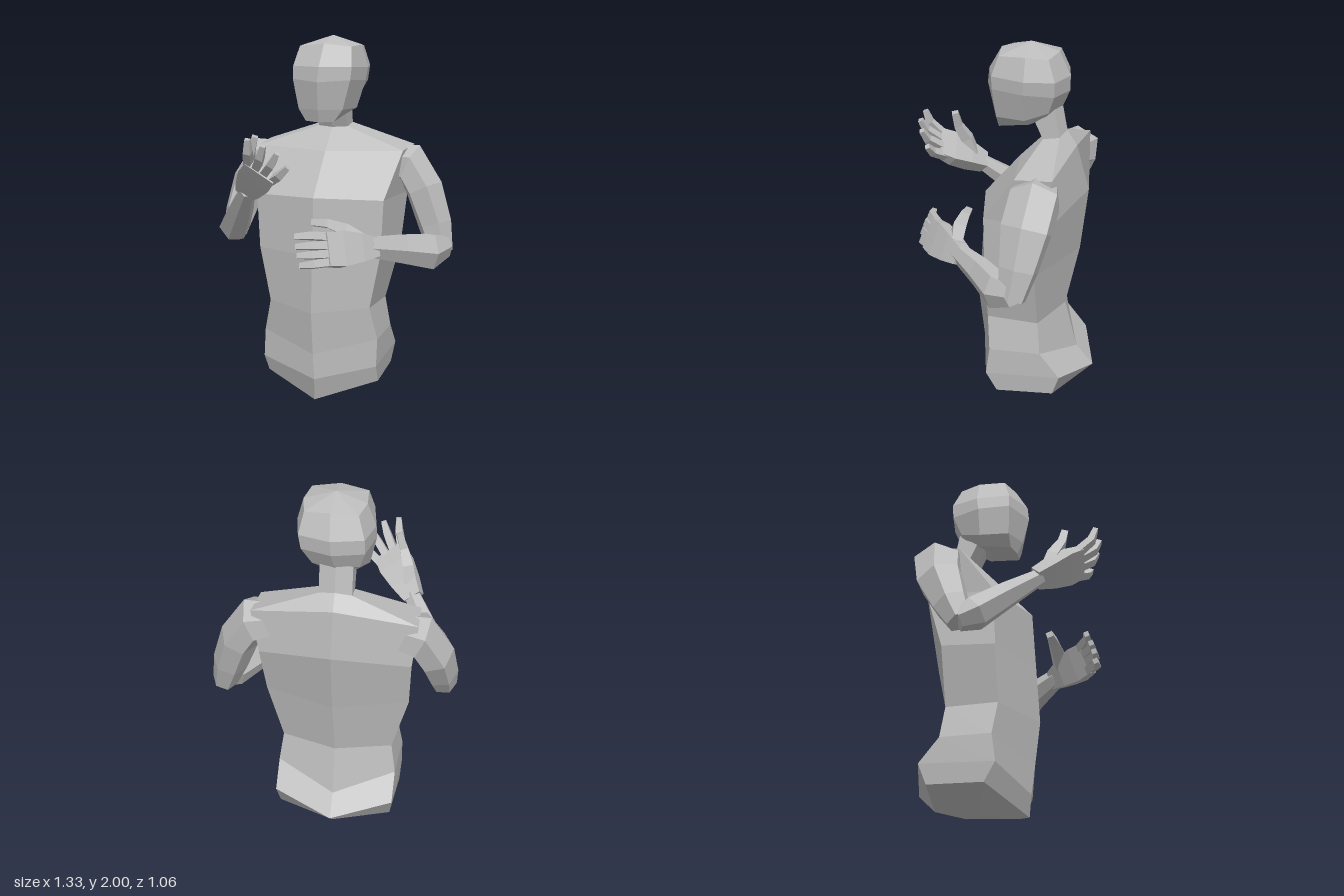
import * as THREE from 'three';

const grey = new THREE.MeshStandardMaterial({ color: 0xbcbcbc });
grey.name = 'clay grey';

const V = (p) => new THREE.Vector3(...p);

// Faceted skin over closed rings of Vector3 (counter-clockwise seen from the end), closed at both ends.
function loft(name, rings, startTip, endTip) {
  const pos = [], nor = [];
  const face = (normal, ...p) => p.forEach((v) => {
    pos.push(v.x, v.y, v.z);
    nor.push(normal.x, normal.y, normal.z);
  });
  const cross = (a, b, c, d) => b.clone().sub(a).cross(d.clone().sub(c)).normalize();
  const tri = (a, b, c) => face(cross(a, b, a, c), a, b, c);
  // One normal per quad, split along its shorter diagonal
  const quad = (a, b, c, d) => {
    const normal = cross(a, c, b, d);
    if (a.distanceTo(c) < b.distanceTo(d)) face(normal, a, b, c, a, c, d);
    else face(normal, a, b, d, b, c, d);
  };
  const n = rings[0].length;
  const mean = (r) => r.reduce((s, p) => s.add(p), new THREE.Vector3()).divideScalar(n);
  const first = rings[0], last = rings[rings.length - 1];
  const start = startTip ?? mean(first), end = endTip ?? mean(last);
  for (let i = 0; i < n; i++) {
    const j = (i + 1) % n;
    for (let k = 0; k + 1 < rings.length; k++) quad(rings[k][i], rings[k][j], rings[k + 1][j], rings[k + 1][i]);
    tri(start, first[j], first[i]);
    tri(end, last[i], last[j]);
  }
  const geo = new THREE.BufferGeometry();
  geo.setAttribute('position', new THREE.Float32BufferAttribute(pos, 3));
  geo.setAttribute('normal', new THREE.Float32BufferAttribute(nor, 3));
  const mesh = new THREE.Mesh(geo, grey);
  mesh.name = name;
  return mesh;
}

// Mirrored ring: points [halfWidth, y, z] run from front centre round to back centre.
function mirrorRing(cx, half) {
  const left = half.map(([w, y, z]) => new THREE.Vector3(cx + w, y, z));
  const right = half.slice(1, -1).reverse().map(([w, y, z]) => new THREE.Vector3(cx - w, y, z));
  return [...left, ...right];
}

// Limb through sections [x, y, z, a, b]: a is the half size along ref, b across it.
function limb(name, sections, ref, sides = 6) {
  const c = sections.map((s) => V(s));
  const grow = sides === 4 ? Math.SQRT2 : 1;
  const rings = sections.map(([, , , a, b], k) => {
    const t = c[Math.min(k + 1, c.length - 1)].clone().sub(c[Math.max(k - 1, 0)]).normalize();
    const u = ref.clone().addScaledVector(t, -ref.dot(t)).normalize();
    const v = t.clone().cross(u);
    return Array.from({ length: sides }, (_, i) => {
      const q = ((i + 0.5) / sides) * Math.PI * 2;
      return c[k].clone().addScaledVector(u, Math.cos(q) * a * grow).addScaledVector(v, Math.sin(q) * b * grow);
    });
  });
  return loft(name, rings);
}

// Hand: flat palm, four curled fingers and a thumb.
function hand(name, wrist, knuckles, tips, thumb, curl) {
  const g = new THREE.Group();
  g.name = name;
  const K = knuckles.map(V), T = tips.map(V), w = V(wrist);
  const across = K[0].clone().sub(K[3]).normalize();
  const mid = K.reduce((s, p) => s.add(p), new THREE.Vector3()).divideScalar(4);
  const at = (f) => w.clone().lerp(mid, f).toArray();
  g.add(limb('palm', [
    [...at(-0.08), 0.05, 0.035],
    [...at(0.3), 0.075, 0.042],
    [...at(0.7), 0.094, 0.036],
    [...at(1.03), 0.088, 0.024],
  ], across, 4));
  K.forEach((k, i) => {
    const bend = k.clone().lerp(T[i], 0.5).add(V(curl));
    g.add(limb('finger', [
      [...k.clone().lerp(w, 0.1).toArray(), 0.021, 0.022],
      [...bend.toArray(), 0.02, 0.02],
      [...T[i].toArray(), 0.014, 0.013],
    ], across, 4));
  });
  g.add(limb('thumb', thumb, across, 4));
  return g;
}

export function createModel() {
  const model = new THREE.Group();
  model.name = 'upperBody';
  const cx = -0.035;

  // Torso and neck: front centre, front corner, back corner, back centre
  const torso = [
    [[0, 0, 0.08], [0.325, 0.1, -0.06], [0.31, 0.12, -0.37], [0, 0.075, -0.435]],
    [[0, 0.12, 0.09], [0.33, 0.2, 0], [0.325, 0.23, -0.41], [0, 0.165, -0.525]],
    [[0, 0.27, 0.11], [0.33, 0.35, -0.02], [0.325, 0.36, -0.3], [0, 0.27, -0.43]],
    [[0, 0.51, 0.14], [0.29, 0.53, 0], [0.3, 0.53, -0.28], [0, 0.53, -0.36]],
    [[0, 0.82, 0.12], [0.35, 0.83, 0], [0.385, 0.84, -0.28], [0, 0.87, -0.435]],
    [[0, 1.14, 0.1], [0.365, 1.13, 0], [0.4, 1.13, -0.36], [0, 1.21, -0.475]],
    [[0, 1.37, -0.1], [0.42, 1.38, -0.18], [0.43, 1.395, -0.38], [0, 1.45, -0.405]],
    [[0, 1.49, -0.22], [0.085, 1.495, -0.24], [0.085, 1.51, -0.33], [0, 1.53, -0.35]],
    [[0, 1.6, -0.17], [0.085, 1.6, -0.19], [0.085, 1.66, -0.3], [0, 1.68, -0.32]],
  ];
  model.add(loft('torso', torso.map((r) => mirrorRing(cx, r)), V([cx, 0.03, -0.19])));

  // Head: front, front corner, side, back corner, back
  const head = [
    [[0, 1.54, 0.015], [0.08, 1.545, 0], [0.09, 1.57, -0.17], [0.07, 1.61, -0.25], [0, 1.63, -0.3]],
    [[0, 1.61, 0.045], [0.125, 1.61, 0], [0.155, 1.61, -0.16], [0.12, 1.65, -0.28], [0, 1.67, -0.33]],
    [[0, 1.76, 0.08], [0.162, 1.77, 0.01], [0.196, 1.76, -0.16], [0.16, 1.75, -0.32], [0, 1.75, -0.365]],
    [[0, 1.84, 0.07], [0.165, 1.84, 0.01], [0.2, 1.83, -0.17], [0.165, 1.83, -0.325], [0, 1.83, -0.368]],
    [[0, 1.96, 0], [0.145, 1.945, -0.025], [0.16, 1.95, -0.17], [0.135, 1.94, -0.285], [0, 1.955, -0.31]],
  ];
  const headX = [-0.032, -0.028, -0.02, -0.014, -0.008];
  model.add(loft('head', head.map((r, i) => mirrorRing(headX[i], r)), undefined, V([-0.008, 2, -0.16])));

  const forward = new THREE.Vector3(0, 0, 1), up = new THREE.Vector3(0, 1, 0);

  // Left arm, folded across the belly
  const leftArm = new THREE.Group();
  leftArm.name = 'leftArm';
  leftArm.add(
    limb('upperArm', [
      [0.1, 1.33, -0.28, 0.06, 0.06],
      [0.4, 1.29, -0.295, 0.14, 0.12],
      [0.485, 1.16, -0.275, 0.14, 0.105],
      [0.552, 0.97, -0.255, 0.105, 0.095],
      [0.595, 0.82, -0.23, 0.075, 0.068],
    ], forward),
    limb('forearm', [
      [0.615, 0.86, -0.24, 0.07, 0.055],
      [0.555, 0.84, -0.14, 0.106, 0.078],
      [0.43, 0.872, -0.01, 0.085, 0.064],
      [0.3, 0.905, 0.15, 0.06, 0.042],
    ], up),
    hand('leftHand', [0.31, 0.9, 0.14],
      [[0.125, 0.99, 0.33], [0.13, 0.945, 0.355], [0.14, 0.9, 0.37], [0.15, 0.855, 0.375]],
      [[-0.03, 0.99, 0.4], [-0.018, 0.94, 0.42], [-0.005, 0.895, 0.432], [0.01, 0.845, 0.435]],
      [[0.27, 0.94, 0.175, 0.035, 0.03], [0.18, 0.995, 0.185, 0.032, 0.035],
        [0.08, 1.025, 0.185, 0.022, 0.025], [-0.01, 1.025, 0.19, 0.016, 0.018]],
      [0.005, 0.006, 0.02]),
  );
  model.add(leftArm);

  // Right arm, raised with the open palm toward the face
  const rightArm = new THREE.Group();
  rightArm.name = 'rightArm';
  rightArm.add(
    limb('upperArm', [
      [-0.17, 1.33, -0.28, 0.06, 0.06],
      [-0.47, 1.29, -0.295, 0.14, 0.12],
      [-0.54, 1.16, -0.25, 0.13, 0.105],
      [-0.575, 0.99, -0.175, 0.1, 0.09],
      [-0.588, 0.875, -0.12, 0.07, 0.07],
    ], forward),
    limb('forearm', [
      [-0.6, 0.88, -0.13, 0.06, 0.06],
      [-0.56, 0.925, -0.05, 0.09, 0.088],
      [-0.46, 1.06, 0.09, 0.07, 0.072],
      [-0.36, 1.19, 0.235, 0.045, 0.045],
    ], up),
    hand('rightHand', [-0.36, 1.19, 0.23],
      [[-0.265, 1.37, 0.44], [-0.22, 1.35, 0.435], [-0.185, 1.315, 0.415], [-0.165, 1.27, 0.385]],
      [[-0.24, 1.5, 0.515], [-0.155, 1.47, 0.515], [-0.09, 1.43, 0.485], [-0.05, 1.355, 0.44]],
      [[-0.34, 1.24, 0.27, 0.035, 0.03], [-0.325, 1.33, 0.3, 0.03, 0.03],
        [-0.295, 1.41, 0.34, 0.022, 0.022], [-0.265, 1.495, 0.35, 0.016, 0.018]],
      [0.005, -0.005, 0.015]),
  );
  model.add(rightArm);

  return model;
}
